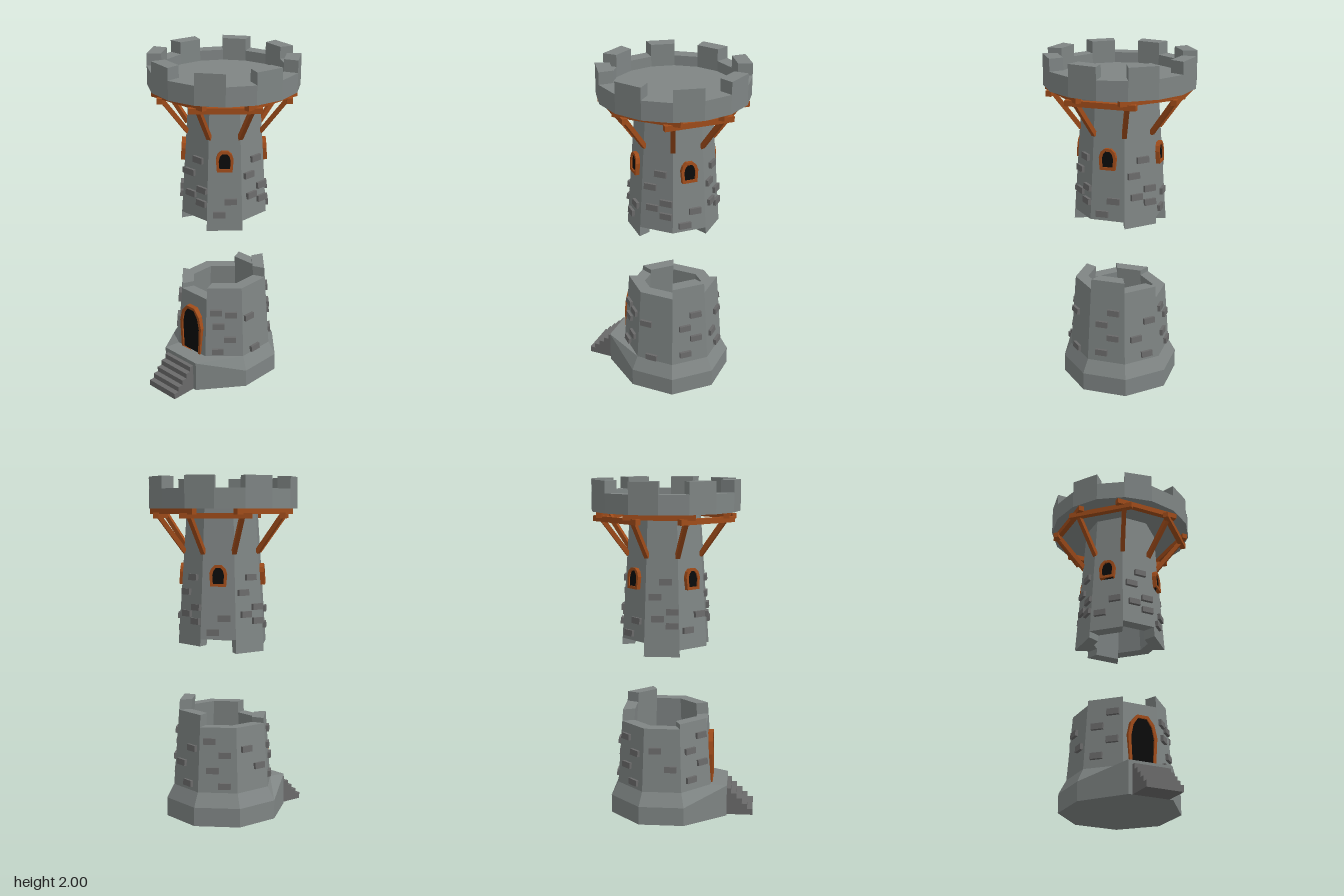
import * as THREE from 'three';

const mat = (color, side = THREE.FrontSide) => new THREE.MeshStandardMaterial({ color, flatShading: true, side });
const STONE = mat(0x7f8584), BRICK = mat(0x6a6a6a), WOOD = mat(0xa04c1a), DARK = mat(0x0b0b0b);
const OCT = Math.PI / 4, HALF = Math.PI / 8;

// Outward distance of the wall faces at a height
const lowerWall = y => 0.28 - (y - 0.19) * 0.069;
const upperWall = y => 0.25 - (y - 1.02) * 0.064;
const polar = (r, a, y) => [r * Math.sin(a), y, r * Math.cos(a)];
const corner = (apothem, a, y) => polar(apothem / Math.cos(HALF), a, y);

// Closed solid through equal rings, counter-clockwise from above, bottom to top
function loft(rings) {
  const v = [], n = rings[0].length, tri = (a, b, c) => v.push(...a, ...b, ...c);
  for (let i = 0; i + 1 < rings.length; i++)
    for (let j = 0; j < n; j++) {
      const k = (j + 1) % n, lo = rings[i], hi = rings[i + 1];
      tri(lo[j], lo[k], hi[k]);
      tri(lo[j], hi[k], hi[j]);
    }
  const bottom = rings[0], top = rings[rings.length - 1];
  for (let j = 1; j + 1 < n; j++) {
    tri(bottom[0], bottom[j + 1], bottom[j]);
    tri(top[0], top[j], top[j + 1]);
  }
  const g = new THREE.BufferGeometry();
  g.setAttribute('position', new THREE.Float32BufferAttribute(v, 3));
  g.computeVertexNormals();
  return g;
}

function add(parent, name, geometry, material, x = 0, y = 0, z = 0) {
  const m = new THREE.Mesh(geometry, material);
  m.name = name;
  m.position.set(x, y, z);
  parent.add(m);
  return m;
}

// Pointed low-poly arch outline, standing on y = 0
function arch(PathType, w, h, base = 0) {
  const half = [[0.88 * w, base], [w, 0.58 * h], [0.8 * w, 0.82 * h], [0.38 * w, 0.97 * h]];
  const mirrored = half.map(([x, y]) => [-x, y]).reverse();
  return new PathType([...half, ...mirrored].map(p => new THREE.Vector2(...p)));
}

// Framed arched opening with a dark panel, facing +z
function opening(name, w, h, t, depth, sill) {
  const g = new THREE.Group();
  g.name = name;
  const frame = arch(THREE.Shape, w, h);
  frame.holes.push(arch(THREE.Path, w - t, h - t, sill));
  add(g, name + 'Frame', new THREE.ExtrudeGeometry(frame, { depth, bevelEnabled: false }), WOOD);
  const panel = arch(THREE.Shape, w - t * 0.6, h - t * 0.6);
  add(g, name + 'Panel', new THREE.ExtrudeGeometry(panel, { depth: depth * 0.77, bevelEnabled: false }), DARK);
  return g;
}

export function createModel() {
  const model = new THREE.Group();
  model.name = 'brokenWatchtower';
  const tower = new THREE.Group();
  tower.name = 'tower';
  tower.position.z = -0.05;
  model.add(tower);

  // Octagonal plinth whose front edge is drawn out into a porch
  const plinthRing = (apothem, y, porch) => Array.from({ length: 8 }, (_, k) => {
    const p = corner(apothem, (k - 0.5) * OCT, y);
    if (porch && k < 2) { p[2] = 0.378; p[1] = y ? 0.19 : 0; }
    return p;
  });
  add(tower, 'plinth', loft([plinthRing(0.32, 0, true), plinthRing(0.32, 0.11, true), plinthRing(0.28, 0.19)]), STONE);

  // Hollow broken walls: one block per side, starting at the front
  const lowerTops = [0.57, 0.64, 0.64, 0.7, 0.64, 0.57, 0.57, 0.6];
  const upperBottoms = [1.08, 1.02, 1.08, 1.08, 1.04, 1.08, 1.0, 1.04];
  const wallBlock = (name, k, y0, y1, wall) => {
    const a = (k - 0.5) * OCT, b = a + OCT;
    const ring = y => [corner(wall(y), a, y), corner(wall(y), b, y),
      corner(wall(y) - 0.07, b, y), corner(wall(y) - 0.07, a, y)];
    add(tower, name, loft([ring(y0), ring(y1)]), STONE);
  };
  for (let k = 0; k < 8; k++) {
    wallBlock('lowerWall', k, 0.185, lowerTops[k], lowerWall);
    wallBlock('upperWall', k, upperBottoms[k], 1.825, upperWall);
  }

  // Battlement: sixteen segments, every second one raised
  for (let i = 0; i < 16; i++) {
    const a = i * HALF, b = a + HALF;
    const ring = y => [polar(0.435, a, y), polar(0.435, b, y), polar(0.352, b, y), polar(0.352, a, y)];
    add(tower, i % 2 ? 'merlon' : 'parapet', loft([ring(1.82), ring(i % 2 ? 2 : 1.93)]), STONE);
  }
  add(tower, 'roofFloor', new THREE.CylinderGeometry(0.352, 0.352, 0.05, 16), STONE, 0, 1.845, 0);

  // Raised bricks as [offset along side, height]
  const lowerBricks = [
    [],
    [[-0.05, 0.485], [-0.035, 0.395], [0.035, 0.305], [-0.04, 0.225], [0.04, 0.47]],
    [[-0.06, 0.44], [-0.02, 0.215]],
    [[0.04, 0.51], [-0.03, 0.43], [0.04, 0.35], [-0.03, 0.25]],
    [[0.05, 0.44], [-0.04, 0.34], [0.03, 0.23]],
    [[-0.05, 0.49], [0.04, 0.41], [-0.03, 0.32], [0.04, 0.23]],
    [[-0.04, 0.44], [0.05, 0.33]],
    [[0.05, 0.51], [-0.04, 0.43], [0.05, 0.345], [-0.04, 0.255]]
  ];
  const upperBricks = [
    [[0.02, 1.43], [-0.04, 1.345], [-0.025, 1.22], [0.06, 1.26], [0.06, 1.18]],
    [[0.035, 1.2], [-0.03, 1.12]]
  ];
  const brick = new THREE.BoxGeometry(0.072, 0.036, 0.035);

  for (let k = 0; k < 8; k++) {
    const side = new THREE.Group();
    side.name = 'wallSide';
    side.rotation.y = k * OCT;
    tower.add(side);
    for (const [u, y] of lowerBricks[k])
      add(side, 'brick', brick, BRICK, u, y, lowerWall(y)).rotation.x = -0.069;
    for (const [u, y] of k === 7 ? [[0.05, 1.235], [-0.04, 1.15]] : upperBricks[k % 2])
      add(side, 'brick', brick, BRICK, u, y, upperWall(y)).rotation.x = -0.064;

    // Windows on the diagonal sides
    if (k % 2) {
      const win = opening('window', 0.05, 0.125, 0.016, 0.036, 0.016);
      win.position.set(0, 1.38, upperWall(1.38) - 0.012);
      win.rotation.x = -0.064;
      side.add(win);
    }

    // Timber ring beams, alternating in height, with a strut at each corner
    add(side, 'ringBeam', new THREE.BoxGeometry(0.4, 0.032, 0.032), WOOD, 0, k % 2 ? 1.78 : 1.804, 0.36);
    const from = new THREE.Vector3(...polar(0.225, HALF, 1.57)), to = new THREE.Vector3(...polar(0.39, HALF, 1.79));
    const strut = add(side, 'strut', new THREE.BoxGeometry(0.026, 0.026, from.distanceTo(to)), WOOD);
    strut.position.copy(from).lerp(to, 0.5);
    strut.rotation.set(-Math.atan2(to.y - from.y, 0.165), HALF, 0, 'YXZ');
  }

  // Door
  const door = opening('door', 0.09, 0.31, 0.018, 0.04, 0);
  door.position.set(0, 0.19, 0.25);
  tower.add(door);

  // Front steps
  for (let i = 0; i < 5; i++) {
    const h = 0.165 - i * 0.032, depth = 0.033;
    add(model, 'step', new THREE.BoxGeometry(0.22, h, depth), BRICK, 0, h / 2, 0.3365 + i * depth);
  }
  return model;
}
